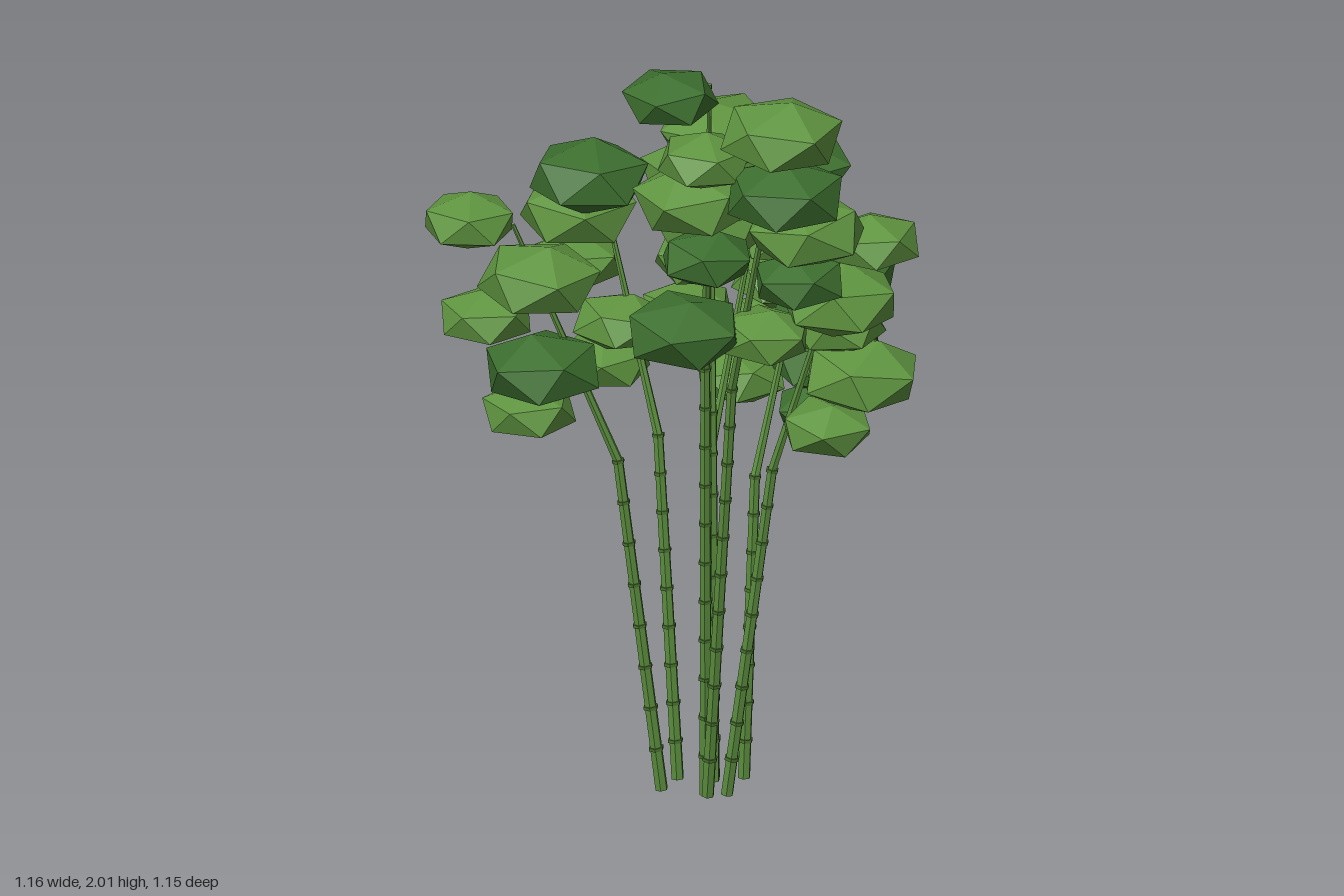
import * as THREE from 'three';
import { mergeGeometries } from 'three/addons/utils/BufferGeometryUtils.js';

const flat = (name, color) => {
  const m = new THREE.MeshStandardMaterial({ color, flatShading: true });
  m.name = name;
  return m;
};

// Tapered rod between two points
function rod(a, b, r0, r1) {
  const dir = b.clone().sub(a);
  const g = new THREE.CylinderGeometry(r1, r0, dir.length(), 6);
  g.applyQuaternion(new THREE.Quaternion().setFromUnitVectors(
    new THREE.Vector3(0, 1, 0), dir.clone().normalize()));
  return g.translate((a.x + b.x) / 2, (a.y + b.y) / 2, (a.z + b.z) / 2);
}

// Squashed faceted leaf clump, turned and tipped a little
function clumpGeometry(radius, rand) {
  const g = new THREE.IcosahedronGeometry(radius, 0);
  g.rotateZ(-Math.atan(2 / (1 + Math.sqrt(5))));
  g.rotateY(rand() * Math.PI * 2);
  g.rotateX((rand() - 0.5) * 0.5);
  g.rotateZ((rand() - 0.5) * 0.5);
  return g.scale(1, 0.57, 1);
}

export function createModel() {
  const model = new THREE.Group();
  model.name = 'bambooClump';
  const mats = {
    cane: flat('caneGreen', 0x5a8c3d),
    node: flat('nodeGreen', 0x48702f),
    light: flat('leafGreen', 0x5f9440),
    dark: flat('deepLeafGreen', 0x3d6f2f),
  };
  let seed = 11;
  const rand = () => (seed = (seed * 16807) % 2147483647) / 2147483647;
  const add = (parent, name, geo, mat) => {
    const mesh = new THREE.Mesh(geo, mat);
    mesh.name = name;
    parent.add(mesh);
    return mesh;
  };

  // A cane runs from base through a bend to its tip, each given as [x, z].
  // Its clumps hang at equal drops below the top; in kinds, d means dark,
  // l light, and a capital a large clump.
  function addCane(name, top, base, bend, tip, kinds, spots) {
    const group = new THREE.Group();
    group.name = name;
    model.add(group);
    const at = ([x, z], share) => new THREE.Vector3(x, top * share, z);
    const foot = at(base, 0), knee = at(bend, 0.58), end = at(tip, 1);

    add(group, 'cane', mergeGeometries([
      rod(foot, knee, 0.0155, 0.0125),
      rod(knee, end, 0.0115, 0.005),
    ]), mats.cane);

    // Raised rings at the joints of the lower length
    const count = Math.round(foot.distanceTo(knee) / 0.1);
    const half = knee.clone().sub(foot).setLength(0.004);
    const rings = [];
    for (let k = 1; k <= count; k++) {
      const c = foot.clone().lerp(knee, k / count);
      const r = THREE.MathUtils.lerp(0.019, 0.0155, k / count);
      rings.push(rod(c.clone().sub(half), c.clone().add(half), r, r));
    }
    add(group, 'caneJoints', mergeGeometries(rings), mats.node);

    spots.forEach(([x, z], i) => {
      const kind = kinds[i], lower = kind.toLowerCase();
      const geo = clumpGeometry(kind === lower ? 0.12 : 0.153, rand);
      add(group, 'leafClump', geo, lower === 'd' ? mats.dark : mats.light)
        .position.set(x, top * (1 - 0.08 * i), z);
    });
  }

  addCane('backRightCane', 1.45, [-0.145, -0.1], [-0.215, -0.175], [-0.38, -0.36], 'lLlDl',
    [[-0.42, -0.46], [-0.385, -0.28], [-0.42, -0.41], [-0.37, -0.28], [-0.37, -0.32]]);
  addCane('backCane', 1.475, [-0.07, -0.11], [-0.06, -0.175], [-0.04, -0.37], 'DLlll',
    [[-0.08, -0.365], [-0.03, -0.435], [-0.06, -0.42], [-0.07, -0.28], [-0.05, -0.34]]);
  addCane('centreCane', 1.58, [-0.03, -0.035], [0.01, -0.07], [0.1, -0.14], 'LLLll',
    [[0.12, -0.135], [0.14, -0.2], [0.16, -0.18], [0.21, -0.26], [0.18, -0.27]]);
  addCane('backLeftCane', 1.375, [-0.015, -0.045], [0.03, -0.09], [0.26, -0.12], 'Dllll',
    [[0.45, -0.165], [0.31, -0.09], [0.3, -0.09], [0.33, -0.11], [0.2, -0.13]]);
  addCane('leftCane', 1.31, [0.03, 0.01], [0.06, 0.02], [0.25, 0.03], 'ddDDd',
    [[0.165, 0.12], [0.335, 0.09], [0.29, 0.06], [0.3, 0.05], [0.235, 0.085]]);
  addCane('frontCane', 1.46, [-0.075, 0.04], [-0.05, 0.155], [0, 0.34], 'lLlLl',
    [[0.035, 0.39], [-0.07, 0.37], [0.03, 0.29], [0.04, 0.35], [-0.04, 0.31]]);
  addCane('tallRightCane', 1.94, [-0.105, 0], [-0.185, 0.06], [-0.35, 0.2], 'dlLdD',
    [[-0.47, 0.175], [-0.43, 0.245], [-0.335, 0.145], [-0.31, 0.16], [-0.4, 0.16]]);
  addCane('tallFrontCane', 1.88, [-0.11, 0.01], [-0.18, 0.135], [-0.3, 0.38], 'LDLdl',
    [[-0.38, 0.435], [-0.38, 0.445], [-0.23, 0.395], [-0.2, 0.35], [-0.23, 0.27]]);
  return model;
}
